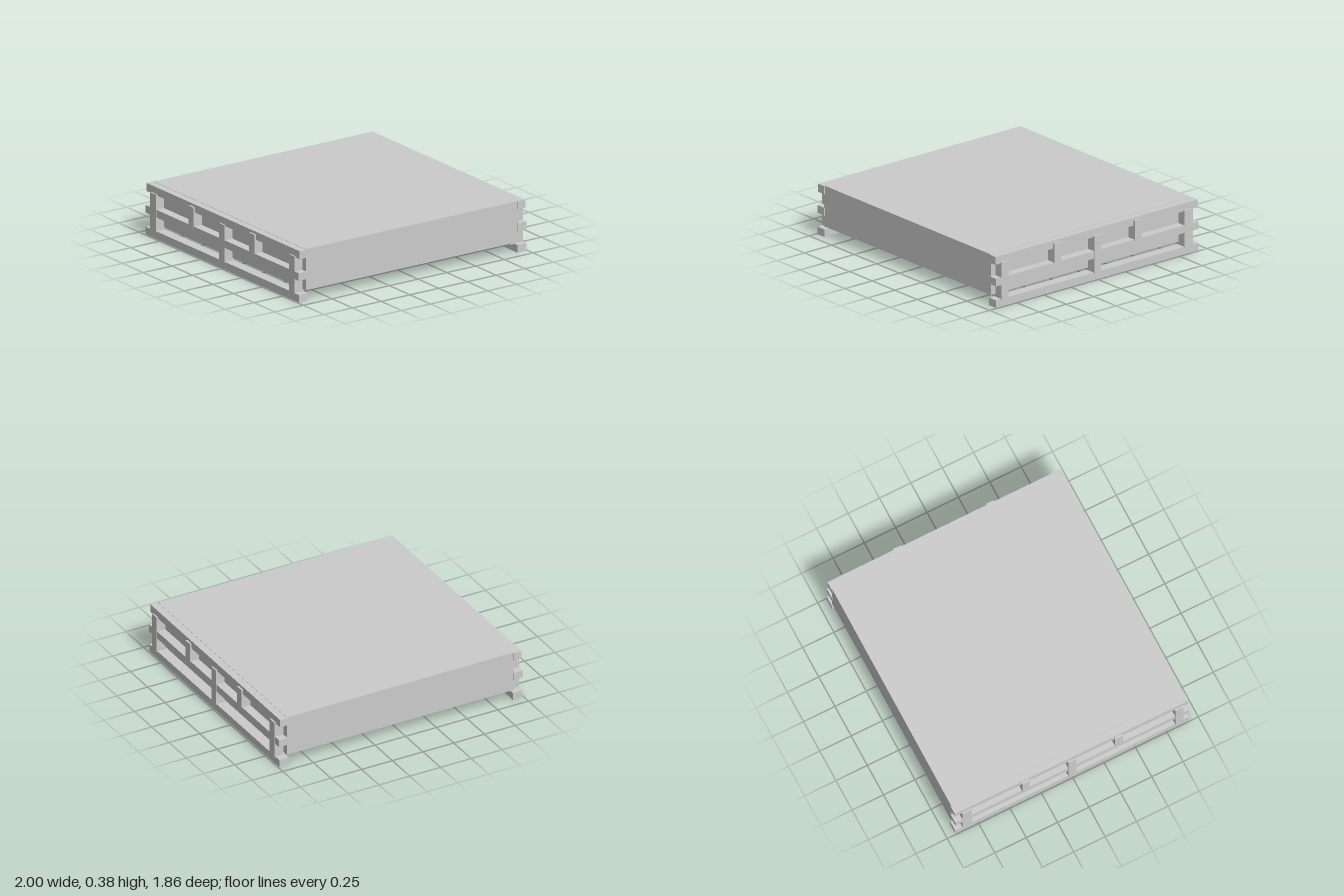
import * as THREE from 'three';

export function createModel() {
  const model = new THREE.Group();
  const material = new THREE.MeshStandardMaterial({ color: 0xcccccc, flatShading: true });

  // Box given by its low and high limits on each axis
  function box(parent, name, [x0, x1], [y0, y1], [z0, z1]) {
    const mesh = new THREE.Mesh(new THREE.BoxGeometry(x1 - x0, y1 - y0, z1 - z0), material);
    mesh.position.set((x0 + x1) / 2, (y0 + y1) / 2, (z0 + z1) / 2);
    mesh.name = name;
    parent.add(mesh);
  }

  // Solid slab between the two side frames
  box(model, 'slab', [-0.925, 0.925], [0.077, 0.384], [-0.926, 0.926]);

  for (const side of [1, -1]) {
    const frame = new THREE.Group();
    frame.name = side > 0 ? 'leftFrame' : 'rightFrame';
    const span = (a, b) => (side > 0 ? [a, b] : [-b, -a]);

    // Long rails
    const length = [-0.932, 0.932];
    box(frame, 'topRail', span(0.915, 0.983), [0.322, 0.382], length);
    box(frame, 'middleRail', span(0.915, 0.992), [0.162, 0.219], length);
    box(frame, 'bottomRail', span(0.912, 0.99), [0, 0.057], length);

    // Full posts, standing on the bottom rail
    const inner = side > 0 ? 0.885 : 0.915;
    for (const [z0, z1] of [[0.82, 0.885], [-0.032, 0.032], [-0.875, -0.8]]) {
      box(frame, 'post', span(inner, 0.995), [0.05, 0.332], [z0, z1]);
    }

    // Short posts between the middle and top rails
    for (const z of [0.37, -0.37]) {
      box(frame, 'shortPost', span(0.915, 0.998), [0.215, 0.362], [z - 0.031, z + 0.031]);
    }
    model.add(frame);
  }
  return model;
}
